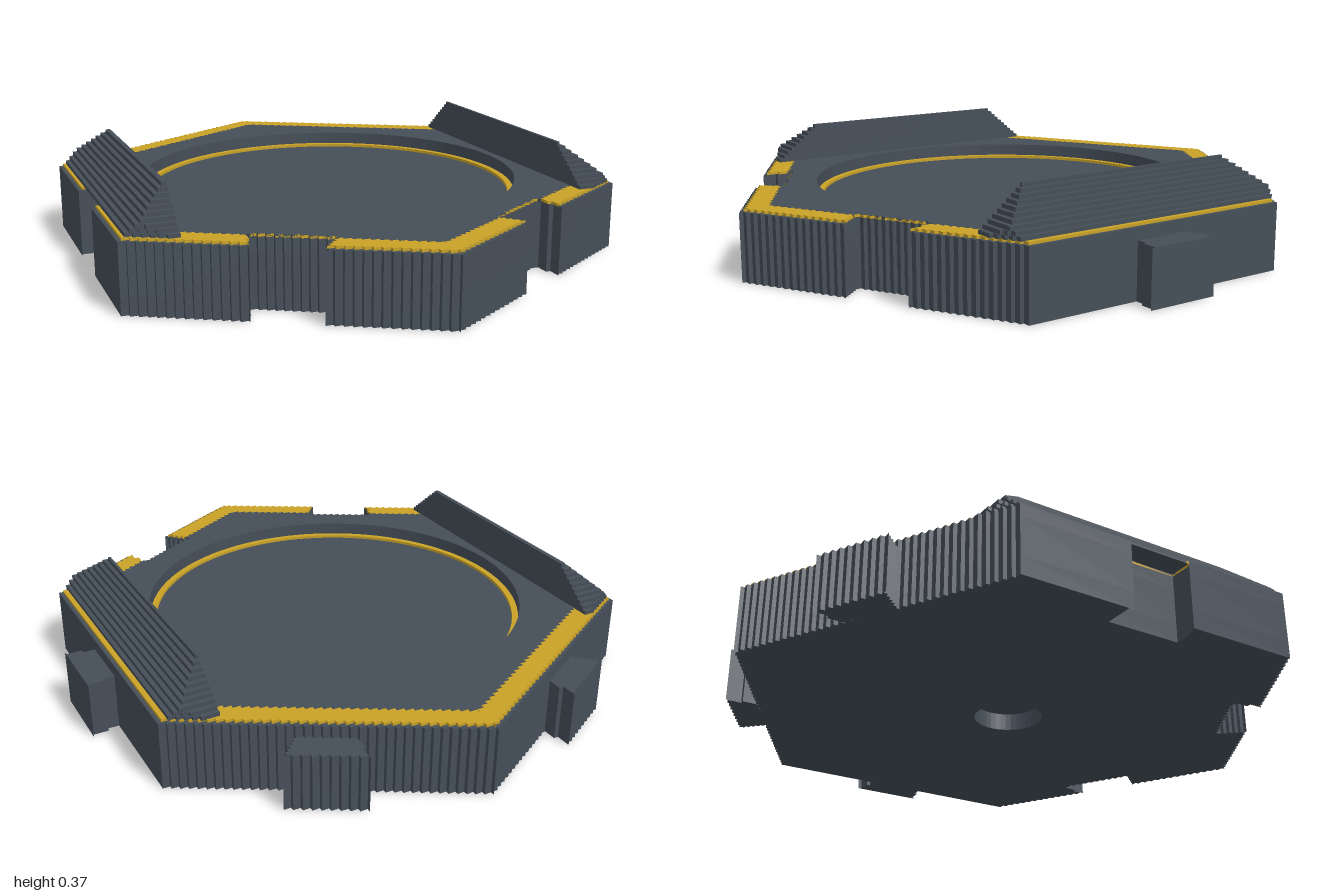
import * as THREE from 'three';

const STEP = 0.0135;     // size of one stair step
const APOTHEM = 0.865;   // hexagon centre to edge
const SLOT_FLOOR = 0.765;
const polar = (angle, d, t) => new THREE.Vector2(
  Math.cos(angle) * d - Math.sin(angle) * t,
  Math.sin(angle) * d + Math.cos(angle) * t);

// Turns slanted segments of a closed outline into small stairs
function stair(points) {
  const out = [];
  points.forEach((a, i) => {
    const b = points[(i + 1) % points.length];
    const dx = b.x - a.x, dz = b.y - a.y;
    out.push(a);
    if (Math.abs(dx) < 0.001 || Math.abs(dz) < 0.001) return;
    const n = Math.max(1, Math.round(Math.min(Math.abs(dx), Math.abs(dz)) / STEP));
    for (let k = 0; k < n; k++) {
      const x0 = a.x + dx * k / n, z1 = a.y + dz * (k + 1) / n;
      if (k) out.push(new THREE.Vector2(x0, a.y + dz * k / n));
      // the corner alternates so the outline keeps its mean position
      const inner = dx * dz > 0;
      out.push(inner ? new THREE.Vector2(x0, z1)
        : new THREE.Vector2(a.x + dx * (k + 1) / n, a.y + dz * k / n));
    }
  });
  return out;
}

// Hexagon with dovetail slots in the two front edges and the -x edge
function hexOutline(apothem) {
  const pts = [];
  const half = d => 0.11 + 0.02 * (APOTHEM - d) / (APOTHEM - SLOT_FLOOR);
  for (let k = 0; k < 6; k++) {
    const a = k * Math.PI / 3;
    pts.push(polar(a, apothem, -apothem / Math.sqrt(3)));
    if (k >= 1 && k <= 3) {
      pts.push(polar(a, apothem, -half(apothem)), polar(a, SLOT_FLOOR, -0.13),
        polar(a, SLOT_FLOOR, 0.13), polar(a, apothem, half(apothem)));
    }
  }
  return stair(pts);
}

function circle(r, n = 96) {
  const pts = [];
  for (let i = 0; i < n; i++) pts.push(polar(i / n * Math.PI * 2, r, 0));
  return pts;
}

// Horizontal slab from y0 to y1; outlines are given in x and z
function slab(outline, y0, y1, hole) {
  const shape = new THREE.Shape(outline);
  if (hole) shape.holes.push(new THREE.Path(hole));
  const g = new THREE.ExtrudeGeometry(shape, { depth: y1 - y0, bevelEnabled: false });
  return g.rotateX(Math.PI / 2).translate(0, y1, 0);
}

export function createModel() {
  const slate = new THREE.MeshStandardMaterial({ color: 0x454e58 });
  slate.name = 'slate grey';
  const gold = new THREE.MeshStandardMaterial({ color: 0xc9a227 });
  gold.name = 'gold';

  const model = new THREE.Group();
  model.name = 'hexTile';
  const tile = new THREE.Group();
  tile.name = 'tile';
  tile.position.x = -0.05;
  model.add(tile);
  const add = (name, geometry, material) => {
    const mesh = new THREE.Mesh(geometry, material);
    mesh.name = name;
    tile.add(mesh);
  };

  // Body: blind hole underneath, round recess on top
  const body = hexOutline(APOTHEM);
  add('bottomLayer', slab(body, 0, 0.06, circle(0.118, 40)), slate);
  add('coreLayer', slab(body, 0.06, 0.187), slate);
  add('rimLayer', slab(body, 0.187, 0.23, circle(0.66)), slate);

  // Gold border with the dark deck inside it
  add('goldBorder', slab(hexOutline(0.852), 0.23, 0.239, circle(0.665)), gold);
  add('deck', slab(hexOutline(0.78), 0.23, 0.24, circle(0.66)), slate);
  add('goldRing', slab(circle(0.659), 0.187, 0.197, circle(0.637)), gold);

  // Dovetail tabs on the +x edge and the two back edges
  for (const k of [0, 4, 5]) {
    const a = k * Math.PI / 3;
    add('connectorTab', slab(stair([
      polar(a, 0.85, -0.1), polar(a, 0.96, -0.127),
      polar(a, 0.96, 0.127), polar(a, 0.85, 0.1)]), 0, 0.19), slate);
  }

  // Stepped ramparts: upright inner face, stairs outward and at both ends
  for (const side of [1, -1]) {
    for (let i = 0; i < 10; i++) {
      const inner = 0.69, outer = (side > 0 ? 0.835 : 0.842) - i * 0.015;
      const z = 0.555 - i * 0.0165;
      const xClip = (0.845 - 0.866 * z) / 0.5;
      const zOuter = (0.845 - 0.5 * outer) / 0.866;
      const ends = zOuter < z ? [[xClip, z], [outer, zOuter]] : [[outer, z]];
      const edge = [[inner, z], ...ends];
      const loop = [...edge, ...edge.map(([x, w]) => [x, -w]).reverse()];
      const pts = loop.map(([x, w]) => new THREE.Vector2(x * side, w));
      add(side > 0 ? 'leftRampartStep' : 'rightRampartStep',
        slab(stair(pts), 0.238 + i * STEP, 0.238 + (i + 1) * STEP), slate);
    }
  }
  return model;
}
